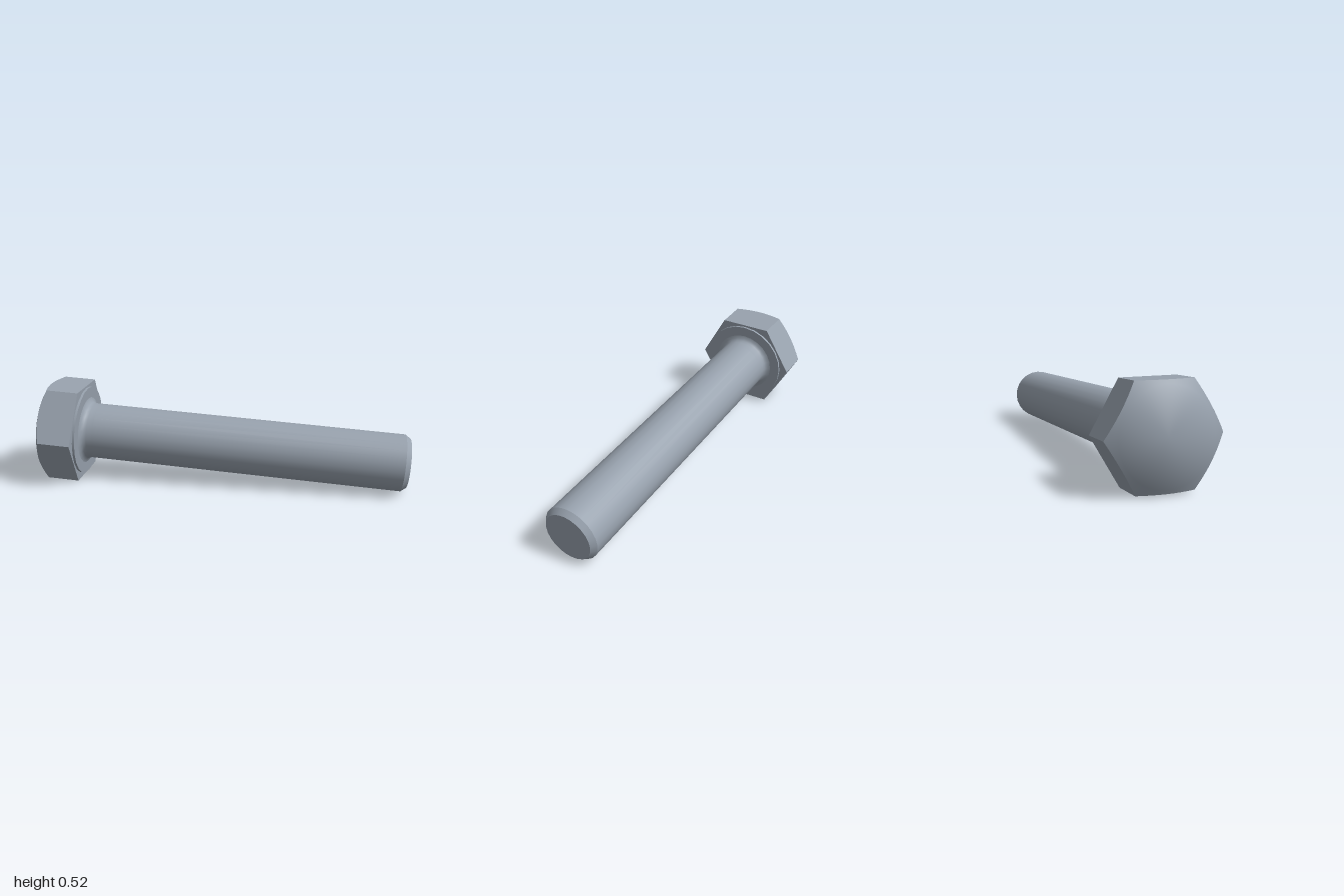
import * as THREE from 'three';

const SIDES = 24;        // facets around the round parts
const HEX = 0.292;       // head radius to a corner
const STEPS = 8;         // points along each flat

export function createModel() {
  const steel = new THREE.MeshStandardMaterial({ color: 0x98a2ae });
  steel.name = 'steel';
  const bolt = new THREE.Group();
  bolt.name = 'bolt';

  const add = (name, geometry) => {
    const mesh = new THREE.Mesh(geometry, steel);
    mesh.name = name;
    bolt.add(mesh);
  };
  const lathe = (name, points) => add(name,
    new THREE.LatheGeometry(points.map(([r, y]) => new THREE.Vector2(r, y)), SIDES));
  const fromTriangles = (points, normals) => {
    const g = new THREE.BufferGeometry();
    g.setAttribute('position', new THREE.Float32BufferAttribute(points.flatMap(p => p.toArray()), 3));
    if (normals) g.setAttribute('normal', new THREE.Float32BufferAttribute(normals.flatMap(n => n.toArray()), 3));
    else g.computeVertexNormals();
    return g;
  };

  // Hexagonal outline, with points along each flat
  const corner = i => new THREE.Vector3(HEX * Math.cos(i * Math.PI / 3), 0, HEX * Math.sin(i * Math.PI / 3));
  const outline = [];
  for (let i = 0; i < 6; i++) {
    for (let j = 0; j < STEPS; j++) outline.push(corner(i).lerp(corner(i + 1), j / STEPS));
  }

  // The conical chamfer cuts arcs into the flats
  const rim = outline.map(p => p.clone().setY(-0.195 + (p.length() - 0.253) * 0.58));
  const ring = outline.map(p => p.clone().setLength(0.235).setY(-0.203));
  const tilt = outline.map(p => p.clone().setLength(0.5).setY(-0.866));
  const apex = new THREE.Vector3(0, -0.207, 0);
  const down = new THREE.Vector3(0, -1, 0);
  const base = new THREE.Vector3();

  const flats = [], crown = [], crownNormals = [];
  outline.forEach((p, i) => {
    const k = (i + 1) % outline.length;
    flats.push(rim[i], p, outline[k], rim[i], outline[k], rim[k]);
    flats.push(base, outline[k], p);
    crown.push(ring[i], rim[i], rim[k], ring[i], rim[k], ring[k], apex, ring[i], ring[k]);
    crownNormals.push(tilt[i], tilt[i], tilt[k], tilt[i], tilt[k], tilt[k], down, tilt[i], tilt[k]);
  });
  add('headFlats', fromTriangles(flats));
  add('headCrown', fromTriangles(crown, crownNormals));

  // Washer face below the head
  lathe('washerRim', [[0.243, 0], [0.243, 0.012]]);
  lathe('washerFace', [[0.243, 0.012], [0.18, 0.012]]);

  // Shank with a fillet at the head and a chamfered tip
  lathe('shank', [[0.184, 0.012], [0.168, 0.017], [0.157, 0.029], [0.153, 0.046], [0.153, 0.08], [0.153, 1.746]]);
  lathe('tipChamfer', [[0.153, 1.746], [0.131, 1.774]]);
  lathe('tipFace', [[0.131, 1.774], [0, 1.774]]);

  // Lay the bolt down, resting on a flat of the head and on the tip
  const axis = new THREE.Vector3(0.9764, -0.0557, 0.209).normalize();
  const across = new THREE.Vector3(-0.209, 0, 0.9764).normalize();
  const third = new THREE.Vector3().crossVectors(across, axis);
  bolt.quaternion.setFromRotationMatrix(new THREE.Matrix4().makeBasis(across, axis, third));
  bolt.position.set(-0.76, 0.254, -0.1);

  const model = new THREE.Group();
  model.name = 'hexBolt';
  model.add(bolt);
  return model;
}
